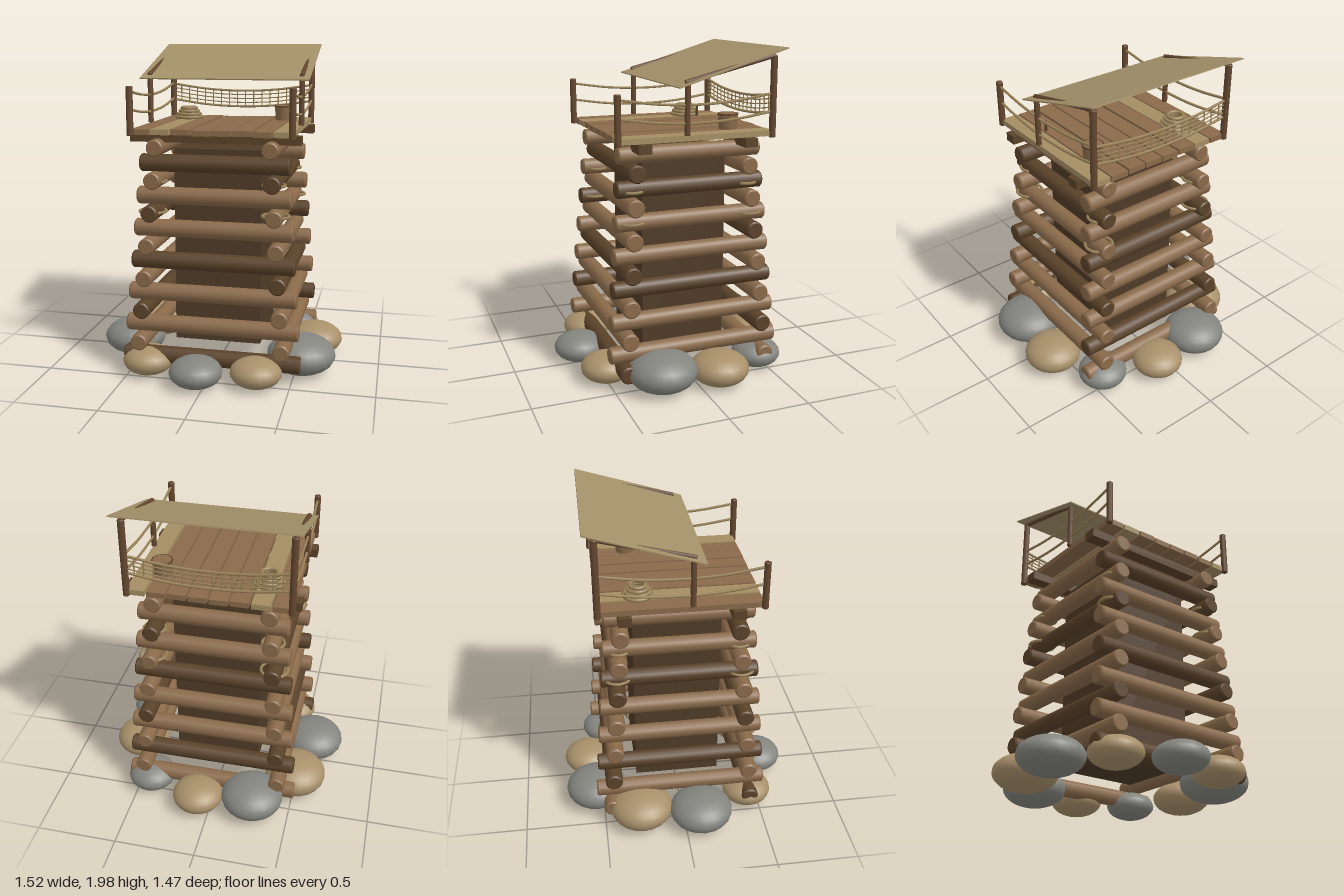
import * as THREE from 'three';

export function createModel() {
  const model = new THREE.Group();
  model.name = 'logWatchtower';

  const paint = (name, color) => {
    const m = new THREE.MeshStandardMaterial({ color });
    m.name = name;
    return m;
  };
  const wood = paint('warm wood', 0x8a6a4a);
  const darkWood = paint('dark wood', 0x5a4229);
  const coreWood = paint('shadow wood', 0x4f3b27);
  const postWood = paint('post wood', 0x644730);
  const paleWood = paint('pale wood', 0xa48d62);
  const rope = paint('rope', 0x9a8358);
  const canvas = paint('canvas', 0xa39069);
  canvas.side = THREE.DoubleSide;
  const greyStone = paint('grey stone', 0x84857f);
  const tanStone = paint('tan stone', 0xa8906a);

  const add = (name, geometry, material, x = 0, y = 0, z = 0) => {
    const mesh = new THREE.Mesh(geometry, material);
    mesh.name = name;
    mesh.position.set(x, y, z);
    model.add(mesh);
    return mesh;
  };

  // Round timber with chamfered ends between two points
  const UP = new THREE.Vector3(0, 1, 0);
  const timber = (name, a, b, r, material, sides = 14) => {
    const from = new THREE.Vector3(...a), to = new THREE.Vector3(...b);
    const dir = to.clone().sub(from), h = dir.length() / 2, c = r * 0.16;
    const rings = [[0, -h], [r - c, -h], [r - c, -h], [r, c - h], [r, c - h],
      [r, h - c], [r, h - c], [r - c, h], [r - c, h], [0, h]];
    const geo = new THREE.LatheGeometry(rings.map(p => new THREE.Vector2(...p)), sides);
    const mesh = add(name, geo, material);
    mesh.position.copy(from).add(to).multiplyScalar(0.5);
    mesh.quaternion.setFromUnitVectors(UP, dir.normalize());
    return mesh;
  };

  // Rope sagging between two points
  const sagPoint = (a, b, sag, t) => new THREE.Vector3(...a)
    .lerp(new THREE.Vector3(...b), t).add(new THREE.Vector3(0, -sag * 4 * t * (1 - t), 0));
  const hang = (name, a, b, sag, r) => {
    const pts = [0, 0.25, 0.5, 0.75, 1].map(t => sagPoint(a, b, sag, t));
    add(name, new THREE.TubeGeometry(new THREE.CatmullRomCurve3(pts), 20, r, 6), rope);
  };

  const CX = 0.016, CZ = -0.011;
  const spread = y => 0.45 - 0.077 * y;

  // Foundation stones: x, z, radius
  const stones = [
    [-0.265, -0.54, 0.195], [0.08, -0.58, 0.16], [0.42, -0.45, 0.152], [0.58, -0.13, 0.178],
    [0.535, 0.22, 0.21], [0.30, 0.495, 0.156], [-0.048, 0.57, 0.16], [-0.38, 0.43, 0.155],
    [-0.57, 0.10, 0.196], [-0.5, -0.27, 0.196]];
  const tan = [1, 3, 5, 7, 9];
  stones.forEach(([x, z, r], i) => {
    const ry = r * 0.57;
    add('foundationStone', new THREE.SphereGeometry(r, 20, 14),
      tan.includes(i) ? tanStone : greyStone, x, ry + 0.015, z).scale.y = 0.57;
  });

  // Inner core
  add('innerCore', new THREE.BoxGeometry(0.533, 1.2, 0.533), coreWood, CX, 0.788, CZ);

  // Stacked log walls, crossing at the corners and narrowing upward
  for (let i = 0; i < 7; i++) {
    const y = 0.14 + 0.195 * i, s = spread(y), l = s + 0.1;
    timber('frontLog', [CX - l, y, CZ + s], [CX + l, y, CZ + s], 0.053, i % 3 === 0 ? darkWood : wood);
    timber('backLog', [CX - l, y, CZ - s], [CX + l, y, CZ - s], 0.053, i % 3 === 1 ? darkWood : wood);
    const v = y + 0.0965, q = spread(v), k = q + 0.1;
    timber('leftLog', [CX + q, v, CZ - k], [CX + q, v, CZ + k], 0.051, i % 3 === 2 ? darkWood : wood);
    timber('rightLog', [CX - q, v, CZ - k], [CX - q, v, CZ + k], 0.051, i % 3 === 1 ? darkWood : wood);
  }

  // Corner lashings
  for (const [y, r] of [[1.2, 0.065], [1.02, 0.08]])
    for (const sx of [-1, 1])
      for (const sz of [-1, 1])
        add('cornerLashing', new THREE.TorusGeometry(r, 0.009, 6, 20), rope,
          CX + sx * spread(y), y, CZ + sz * spread(y)).rotation.x = Math.PI / 2;

  // Deck beams and planks
  for (const z of [0.313, -0.335])
    add('deckBeam', new THREE.BoxGeometry(1.022, 0.052, 0.078), darkWood, CX, 1.46, z);
  for (let i = 0; i < 8; i++)
    add('deckPlank', new THREE.BoxGeometry(0.109, 0.033, 0.946),
      i === 1 || i === 7 ? paleWood : wood, -0.403 + 0.1201 * i, 1.504 + (i % 3 - 1) * 0.002, -0.016);

  // Posts, roof rafters and side ropes
  const sides = [-0.457, 0.489];
  for (const x of sides) {
    timber('frontPost', [x, 1.48, 0.461], [x, 1.766, 0.461], 0.02, postWood, 10);
    timber('middlePost', [x, 1.52, 0.051], [x, 1.822, 0.051], 0.017, postWood, 10);
    timber('backPost', [x, 1.48, -0.484], [x, 1.952, -0.484], 0.02, postWood, 10);
    timber('rafter', [x, 1.818, 0.065], [x, 1.953, -0.49], 0.014, postWood, 10);
    hang('upperSideRope', [x, 1.737, 0.461], [x, 1.737, -0.484], 0.045, 0.008);
    hang('lowerSideRope', [x, 1.633, 0.461], [x, 1.633, -0.484], 0.045, 0.008);
  }

  // Back netting
  const netEnd = (x, y) => [x, y, -0.484];
  for (let i = 0; i < 5; i++) {
    const y = 1.733 - 0.0262 * i, edge = i === 0 || i === 4;
    hang(edge ? 'netEdgeRope' : 'netLine', netEnd(sides[0], y), netEnd(sides[1], y), 0.043, edge ? 0.008 : 0.004);
  }
  for (let i = 1; i < 17; i++) {
    const p = sagPoint(netEnd(sides[0], 1.733), netEnd(sides[1], 1.733), 0.043, i / 17);
    add('netStrand', new THREE.CylinderGeometry(0.004, 0.004, 0.105, 6), rope, p.x, p.y - 0.0525, p.z);
  }

  // Sloping canvas roof
  const rise = 0.202, run = 0.667;
  const roof = add('canvasRoof', new THREE.BoxGeometry(1.045, 0.007, Math.hypot(rise, run)),
    canvas, 0.0175, 1.894, -0.2145);
  roof.rotation.x = Math.atan2(rise, run);

  // Coiled rope on the deck
  [0.083, 0.072, 0.059, 0.047].forEach((r, i) => {
    add('ropeCoil', new THREE.TorusGeometry(r, 0.011, 8, 24), rope,
      -0.287, 1.532 + i * 0.019, -0.245).rotation.x = Math.PI / 2;
  });

  // Bucket and small hanging peg
  add('bucket', new THREE.CylinderGeometry(0.061, 0.054, 0.092, 16), wood, 0.338, 1.566, -0.268);
  add('bucketRim', new THREE.TorusGeometry(0.059, 0.005, 6, 20), darkWood, 0.338, 1.609, -0.268).rotation.x = Math.PI / 2;
  timber('hangingPeg', [0.475, 1.63, -0.01], [0.475, 1.692, -0.01], 0.008, darkWood, 8);

  return model;
}
